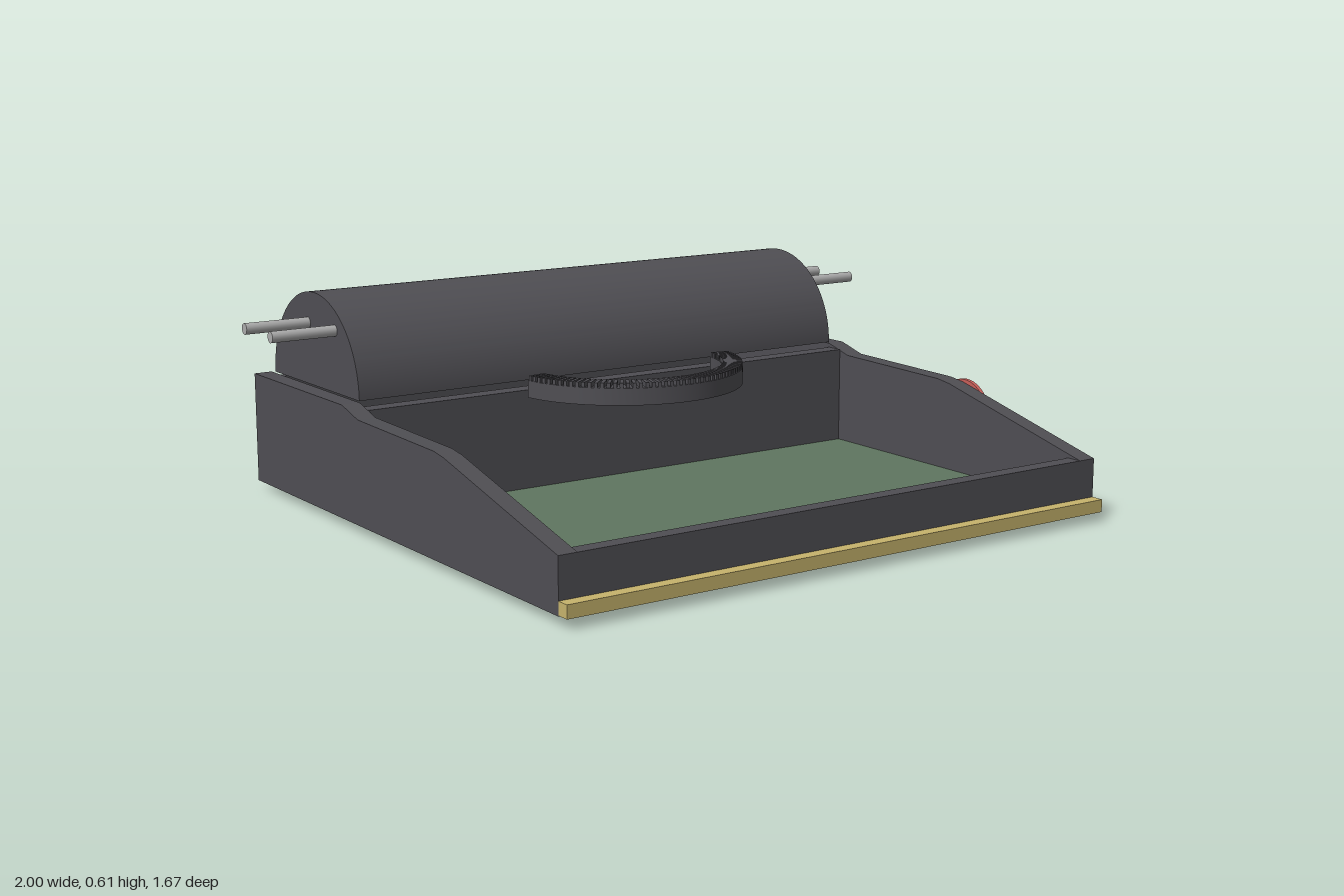
import * as THREE from 'three';
import { toCreasedNormals } from 'three/addons/utils/BufferGeometryUtils.js';

const mat = (name, color) => {
  const m = new THREE.MeshStandardMaterial({ color });
  m.name = name;
  return m;
};

export function createModel() {
  const root = new THREE.Group();
  root.name = 'typewriter';
  const dark = mat('charcoal', 0x4f4e53);
  const green = mat('green', 0x5f7660);
  const red = mat('red', 0xc8605a);
  const gold = mat('brass', 0xc6b36c);
  const steel = mat('steel', 0xacacac);

  const add = (name, geo, material, x = 0, y = 0, z = 0) => {
    const mesh = new THREE.Mesh(geo, material);
    mesh.name = name;
    mesh.position.set(x, y, z);
    root.add(mesh);
    return mesh;
  };
  // Box given by its limits on each axis
  const box = (name, material, x0, x1, y0, y1, z0, z1) =>
    add(name, new THREE.BoxGeometry(x1 - x0, y1 - y0, z1 - z0), material,
      (x0 + x1) / 2, (y0 + y1) / 2, (z0 + z1) / 2);
  // Profile of [z, y] points extruded along x
  const prism = (name, material, points, x0, x1) => {
    const shape = new THREE.Shape(points.map(([z, y]) => new THREE.Vector2(-z, y)));
    const geo = new THREE.ExtrudeGeometry(shape, { depth: x1 - x0, bevelEnabled: false });
    geo.rotateY(Math.PI / 2);
    return add(name, geo, material, x0, 0, 0);
  };

  // Side panels
  const side = [[0.8, 0.025], [0.8, 0.17], [0.27, 0.3], [0.22, 0.307], [-0.19, 0.315],
    [-0.28, 0.34], [-0.835, 0.34], [-0.835, 0.025]];
  prism('leftPanel', dark, side, 0.81, 0.863);
  prism('rightPanel', dark, side, -0.863, -0.81);

  // Floor, front wall, partition and back wall
  box('floor', dark, -0.81, 0.81, 0.025, 0.04, -0.81, 0.755);
  prism('frontWall', dark, [[0.8, 0.025], [0.8, 0.17], [0.755, 0.17], [0.675, 0.045], [0.675, 0.025]], -0.81, 0.81);
  box('partition', dark, -0.81, 0.81, 0.04, 0.328, -0.28, -0.228);
  box('backWall', dark, -0.81, 0.81, 0.025, 0.328, -0.835, -0.808);
  box('keyBed', green, -0.81, 0.81, 0.04, 0.046, -0.228, 0.675);
  box('frontTrim', gold, -0.863, 0.863, 0.027, 0.062, 0.8, 0.836);

  // Half-round carriage cover
  const arc = new THREE.Shape();
  arc.absarc(0, 0, 0.263, 0, Math.PI, false);
  arc.closePath();
  let cover = new THREE.ExtrudeGeometry(arc, { depth: 1.62, bevelEnabled: false, curveSegments: 40 });
  cover.rotateY(Math.PI / 2);
  cover = toCreasedNormals(cover, 0.5);
  add('carriageCover', cover, dark, -0.81, 0.344, -0.545);

  // Carriage rods at both ends
  for (const s of [-1, 1]) for (const z of [-0.418, -0.583]) {
    const rod = add('carriageRod', new THREE.CylinderGeometry(0.016, 0.016, 0.2, 16), steel, s * 0.9, 0.517, z);
    rod.rotation.z = Math.PI / 2;
  }

  // Curved type basket with a row of type bars
  const basket = new THREE.Group();
  basket.name = 'typeBasket';
  basket.position.set(0, 0, -0.225);
  root.add(basket);
  const start = 0.13, end = Math.PI - start;
  const ring = new THREE.Shape();
  ring.absarc(0, 0, 0.346, start, end, false);
  ring.absarc(0, 0, 0.288, end, start, true);
  ring.closePath();
  const ringGeo = new THREE.ExtrudeGeometry(ring, { depth: 0.048, bevelEnabled: false, curveSegments: 36 });
  ringGeo.rotateX(Math.PI / 2);
  const ringMesh = new THREE.Mesh(toCreasedNormals(ringGeo, 0.5), dark);
  ringMesh.name = 'basketRing';
  ringMesh.position.y = 0.365;
  basket.add(ringMesh);
  const barGeo = new THREE.BoxGeometry(0.055, 0.016, 0.01);
  const count = 56;
  for (let i = 0; i < count; i++) {
    const a = start + 0.02 + (end - start - 0.04) * i / (count - 1);
    const bar = new THREE.Mesh(barGeo, dark);
    bar.name = 'typeBar';
    bar.position.set(0.317 * Math.cos(a), 0.371, 0.317 * Math.sin(a));
    bar.rotation.y = -a;
    basket.add(bar);
  }

  // Round side badge and the rear foot
  const disc = add('sideDisc', new THREE.CylinderGeometry(0.1, 0.1, 0.012, 40), red, 0.869, 0.208, 0.275);
  disc.rotation.z = Math.PI / 2;
  prism('foot', dark, [[-0.735, 0.026], [-0.74, 0.004], [-0.745, 0], [-0.8, 0], [-0.805, 0.004], [-0.81, 0.026]], 0.67, 0.78);

  return root;
}
